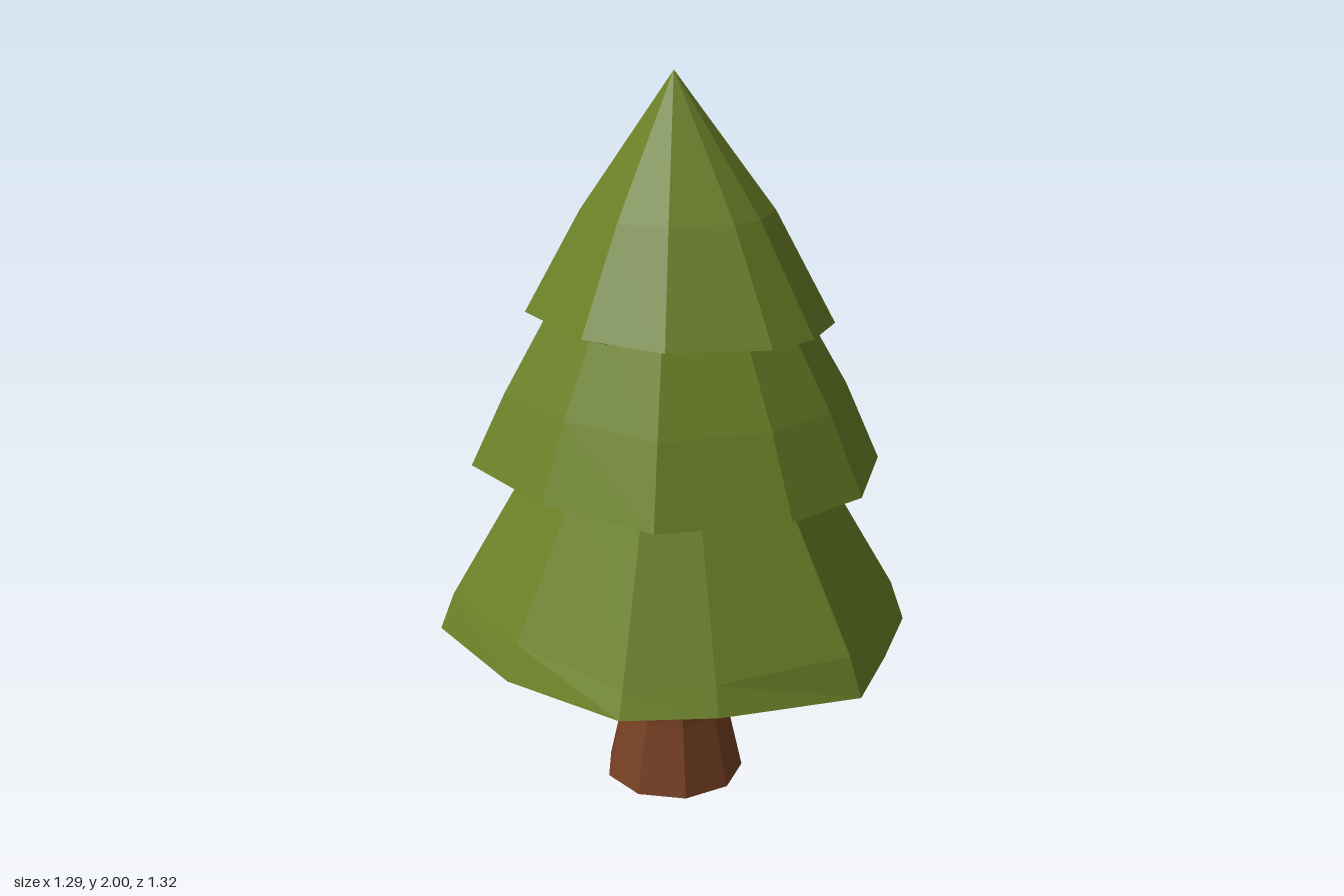
import * as THREE from 'three';

// Skins a list of equal-length closed rings, ordered bottom to top, with flat facets.
function skin(rings) {
  const pos = [];
  for (let k = 0; k < rings.length - 1; k++) {
    const lo = rings[k], hi = rings[k + 1], n = lo.length;
    for (let i = 0; i < n; i++) {
      const j = (i + 1) % n;
      pos.push(...lo[i], ...hi[i], ...hi[j], ...lo[i], ...hi[j], ...lo[j]);
    }
  }
  const g = new THREE.BufferGeometry();
  g.setAttribute('position', new THREE.Float32BufferAttribute(pos, 3));
  g.computeVertexNormals();
  return g;
}

// Irregular rim outlines [x, y, z]; the upper two have an overlapping fold at the back.
const tiers = [
  {
    name: 'lowerFoliage',
    rim: [
      [-0.2, 0.5, -0.66], [0.2, 0.465, -0.56], [0.56, 0.445, -0.36], [0.61, 0.45, -0.08],
      [0.645, 0.455, 0.18], [0.4, 0.49, 0.51], [0.2, 0.5, 0.655], [-0.2, 0.465, 0.55],
      [-0.565, 0.455, 0.345], [-0.61, 0.455, 0.08], [-0.65, 0.455, -0.19], [-0.4, 0.48, -0.52],
    ],
    under: [[0, 0.41], [0.3, 0.412]],
    over: [[0.94, 0.56], [0.57, 0.98], [0, 1.1]],
  },
  {
    name: 'middleFoliage',
    rim: [
      [-0.24, 0.97, -0.535], [-0.04, 0.965, -0.55], [0.41, 0.99, -0.305], [0.47, 0.93, -0.34],
      [0.56, 0.935, 0.01], [0.48, 0.94, 0.27], [0.23, 0.95, 0.53], [-0.13, 0.945, 0.47],
      [-0.46, 0.95, 0.31], [-0.555, 0.955, -0.03], [-0.48, 0.96, -0.28],
    ],
    under: [[0, 0.91], [0.7, 0.912]],
    over: [[0.83, 1.15], [0.56, 1.42], [0, 1.55]],
  },
  {
    name: 'upperFoliage',
    rim: [
      [-0.17, 1.38, -0.4], [0.04, 1.38, -0.42], [0.345, 1.39, -0.2], [0.38, 1.335, -0.21],
      [0.435, 1.355, 0.06], [0.39, 1.355, 0.21], [0.18, 1.36, 0.38], [-0.04, 1.375, 0.41],
      [-0.355, 1.365, 0.185], [-0.425, 1.37, -0.08], [-0.38, 1.375, -0.22],
    ],
    under: [[0, 1.33], [0.7, 1.335]],
    over: [[0.62, 1.64], [0, 2]],
  },
];

export function createModel() {
  const leaf = new THREE.MeshStandardMaterial({ color: 0x6b8027 });
  leaf.name = 'leafGreen';
  const bark = new THREE.MeshStandardMaterial({ color: 0x774024 });
  bark.name = 'barkBrown';

  const tree = new THREE.Group();
  tree.name = 'pineTree';
  const add = (name, geometry, material) => {
    const mesh = new THREE.Mesh(geometry, material);
    mesh.name = name;
    tree.add(mesh);
  };

  // Flared trunk
  const trunkRings = [[0, 0], [0.2, 0], [0.155, 0.2], [0.13, 0.43]].map(([r, y]) =>
    Array.from({ length: 9 }, (_, i) => {
      const a = ((i + 0.3) / 9) * Math.PI * 2;
      return [r * Math.cos(a), y, r * Math.sin(a)];
    }));
  add('trunk', skin(trunkRings), bark);

  // Foliage tiers: underside, rim, then tapering slopes
  for (const { name, rim, under, over } of tiers) {
    const ring = ([s, y]) => rim.map(([x, , z]) => [x * s, y, z * s]);
    add(name, skin([...under.map(ring), rim, ...over.map(ring)]), leaf);
  }
  return tree;
}
